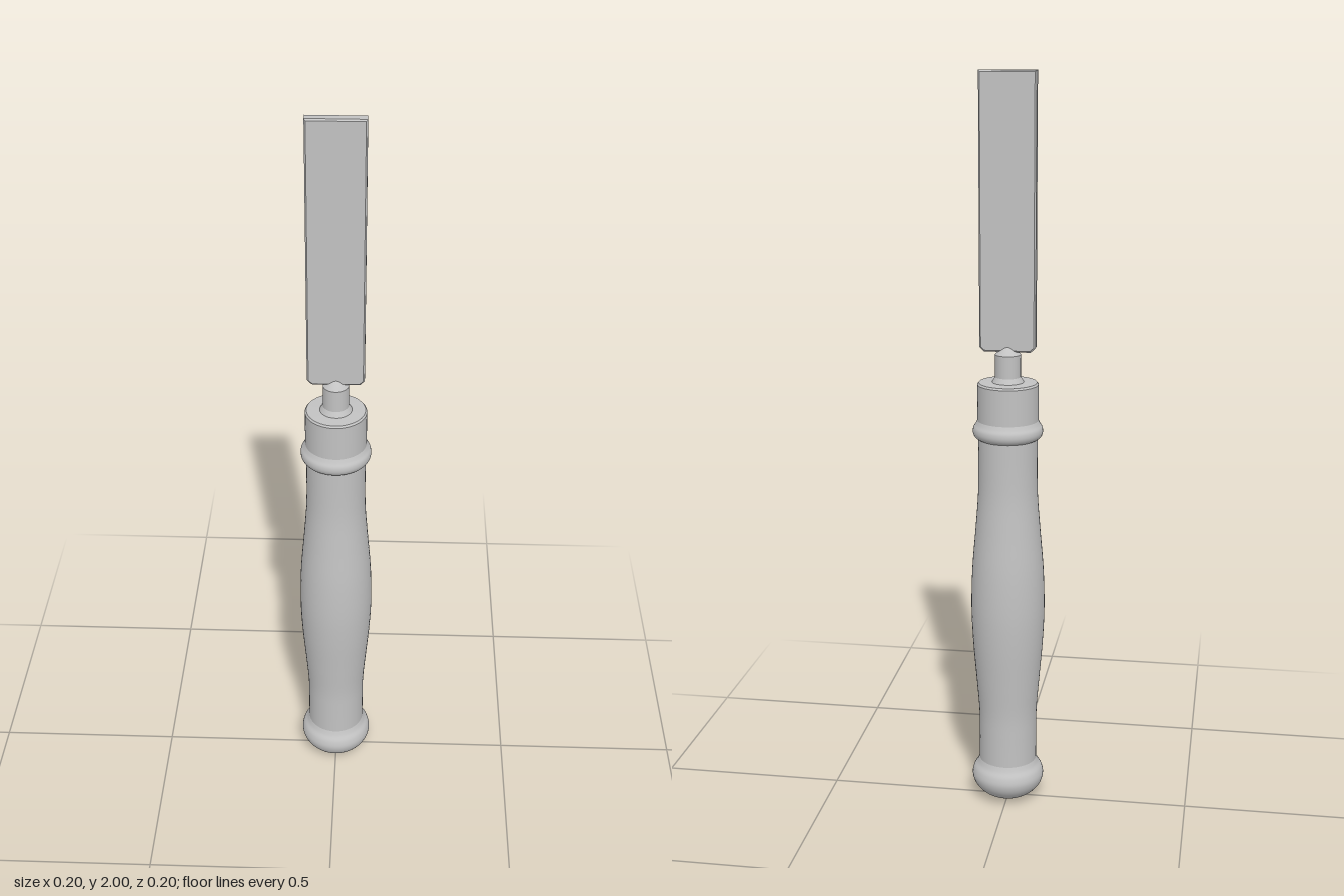
import * as THREE from 'three';

const SEGMENTS = 48;

// Turned part from [radius, height] points, rounded by a spline when smooth
function turned(name, points, material, smooth = 0) {
  let profile = points.map(([r, y]) => new THREE.Vector2(r, y));
  if (smooth) profile = new THREE.SplineCurve(profile).getPoints(smooth);
  profile.forEach((p) => { p.x = Math.max(p.x, 0); });
  const mesh = new THREE.Mesh(new THREE.LatheGeometry(profile, SEGMENTS), material);
  mesh.name = name;
  return mesh;
}

export function createModel() {
  const grey = new THREE.MeshStandardMaterial({ color: 0xc2c2c2 });
  grey.name = 'plain grey';

  const model = new THREE.Group();
  model.name = 'chisel';

  // Rounded pommel at the butt of the handle
  model.add(turned('pommel', [
    [0, 0.003], [0.035, 0.008], [0.068, 0.022], [0.091, 0.045], [0.1, 0.07],
    [0.096, 0.092], [0.086, 0.108], [0.08, 0.122],
  ], grey, 32));

  // Grip swelling gently in the middle
  model.add(turned('grip', [
    [0.08, 0.122], [0.08, 0.2], [0.081, 0.27], [0.088, 0.36], [0.097, 0.47],
    [0.101, 0.57], [0.098, 0.68], [0.089, 0.79], [0.082, 0.88], [0.08, 0.95], [0.08, 1.05],
  ], grey, 50));

  // Rolled rim under the ferrule
  model.add(turned('ferruleRim', [
    [0.08, 1.048], [0.089, 1.054], [0.094, 1.065], [0.093, 1.078], [0.087, 1.088], [0.082, 1.098],
  ], grey, 16));

  // Ferrule wall and its flat top
  model.add(turned('ferrule', [[0.082, 1.095], [0.082, 1.195]], grey));
  model.add(turned('ferruleEdge', [[0.082, 1.195], [0.078, 1.2]], grey));
  model.add(turned('ferruleTop', [[0.078, 1.2], [0, 1.203]], grey));

  // Tang with a small foot and a shoulder tapering into the blade
  model.add(turned('tangFoot', [[0.044, 1.2], [0.035, 1.215]], grey));
  model.add(turned('tang', [[0.035, 1.21], [0.035, 1.275]], grey));
  model.add(turned('tangShoulder', [[0.035, 1.275], [0.015, 1.296], [0, 1.296]], grey));

  // Flat blade with narrow bevels and clipped lower corners
  const bevel = 0.004;
  const w = 0.075 - bevel, bottom = 1.283 + bevel, top = 2 - bevel, clip = 0.01;
  const outline = new THREE.Shape([
    [-w + clip, bottom], [w - clip, bottom], [w, bottom + clip],
    [w, top], [-w, top], [-w, bottom + clip],
  ].map(([x, y]) => new THREE.Vector2(x, y)));
  const depth = 0.022;
  const bladeShape = new THREE.ExtrudeGeometry(outline, {
    depth, bevelEnabled: true, bevelSize: bevel, bevelThickness: bevel, bevelSegments: 1,
  }).translate(0, 0, -depth / 2);
  const blade = new THREE.Mesh(bladeShape, grey);
  blade.name = 'blade';
  model.add(blade);

  return model;
}
